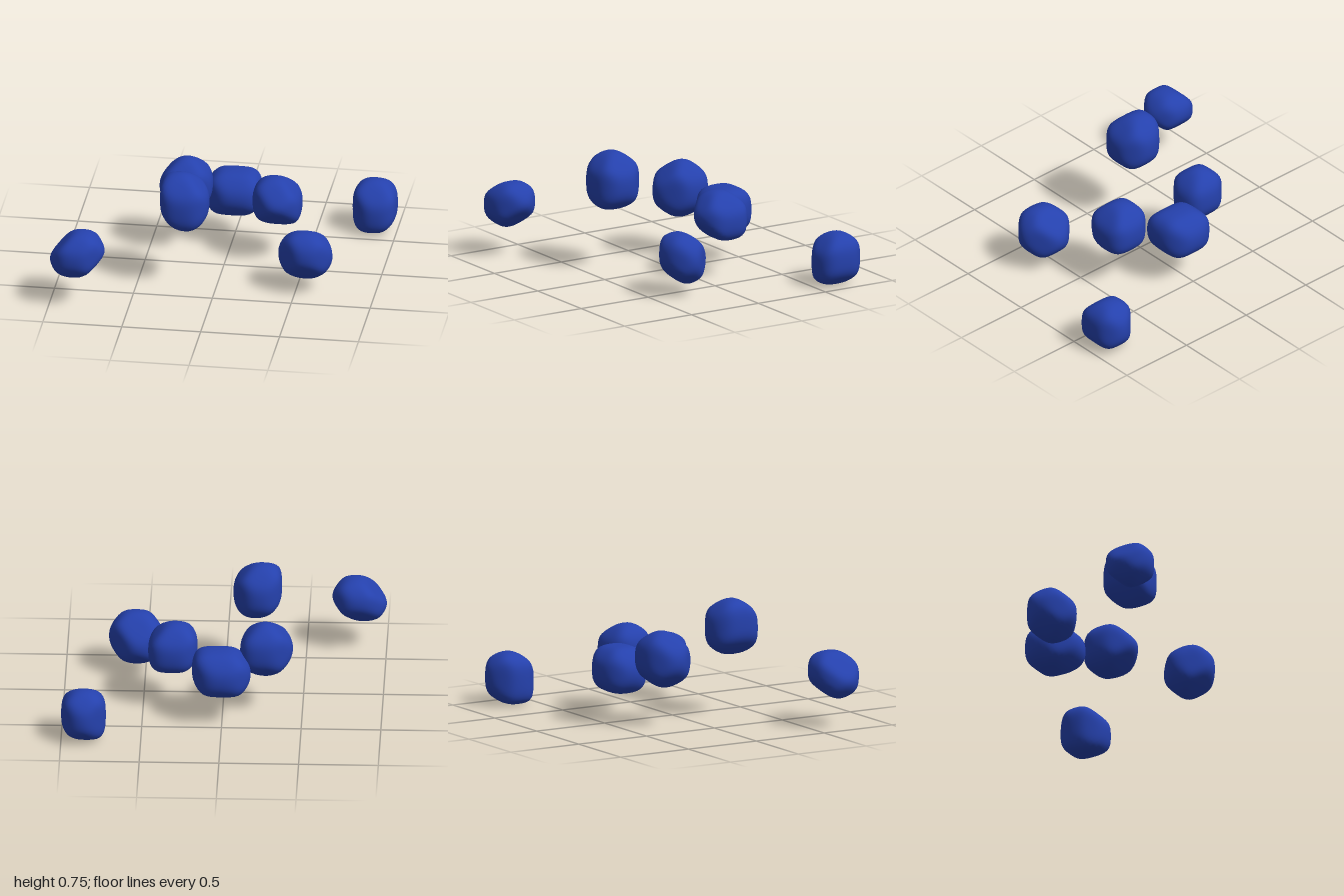
import * as THREE from 'three';
import { mergeVertices } from 'three/addons/utils/BufferGeometryUtils.js';

// Each lump: box limits, then how far each box edge is bevelled off.
// Bevel order per plane: (+,+), (-,+), (+,-), (-,-)
const LUMPS = [
  { x: [-1, -0.66], y: [0.18, 0.48], z: [0.52, 0.82],
    xy: [0.085, 0.145, 0.14, 0.085], zy: [0.085, 0.075, 0.09, 0.125], xz: [0.107, 0.085, 0.095, 0.105] },
  { x: [-0.355, -0.05], y: [0.39, 0.755], z: [0.135, 0.46],
    xy: [0.123, 0.06, 0.09, 0.118], zy: [0.115, 0.105, 0.065, 0.1], xz: [0.08, 0.065, 0.1, 0.08] },
  { x: [-0.44, -0.11], y: [0.245, 0.61], z: [-0.39, -0.06],
    xy: [0.11, 0.125, 0.1, 0.12], zy: [0.14, 0.09, 0.11, 0.11], xz: [0.125, 0.11, 0.06, 0.11] },
  { x: [0.16, 0.47], y: [0.24, 0.555], z: [-0.31, 0.02],
    xy: [0.115, 0.08, 0.06, 0.08], zy: [0.115, 0.1, 0.13, 0.065], xz: [0.085, 0.11, 0.065, 0.075] },
  { x: [-0.18, 0.19], y: [0.185, 0.485], z: [-0.55, -0.21],
    xy: [0.065, 0.1, 0.09, 0.08], zy: [0.09, 0.09, 0.1, 0.08], xz: [0.065, 0.12, 0.1, 0.095] },
  { x: [0.385, 0.73], y: [0.07, 0.405], z: [0.12, 0.435],
    xy: [0.1, 0.1, 0.11, 0.105], zy: [0.075, 0.135, 0.14, 0.105], xz: [0.1, 0.125, 0.135, 0.11] },
  { x: [0.72, 1], y: [0, 0.335], z: [-0.825, -0.51],
    xy: [0.08, 0.075, 0.09, 0.055], zy: [0.115, 0.09, 0.06, 0.1], xz: [0.06, 0.09, 0.085, 0.1] },
];

const SIGNS = [[1, 1], [-1, 1], [1, -1], [-1, -1]];
const ROUNDING = 9; // higher gives sharper edges between the bevels

// Limit planes of a lump: unit normal and distance from its centre
function limitPlanes(lump, half) {
  const planes = [];
  for (const axis of ['x', 'y', 'z']) {
    for (const s of [1, -1]) {
      const n = new THREE.Vector3();
      n[axis] = s;
      planes.push({ n, target: half[axis] });
    }
  }
  for (const [a, b] of ['xy', 'zy', 'xz']) {
    SIGNS.forEach(([sa, sb], i) => {
      const n = new THREE.Vector3();
      n[a] = sa * Math.SQRT1_2;
      n[b] = sb * Math.SQRT1_2;
      planes.push({ n, target: (half[a] + half[b] - lump[a + b][i]) * Math.SQRT1_2 });
    });
  }
  planes.forEach((p) => { p.h = p.target; });
  return planes;
}

// Sphere pushed out to a soft blend of the limit planes
function lumpGeometry(lump, half) {
  const ball = new THREE.IcosahedronGeometry(1, 9);
  ball.deleteAttribute('normal');
  ball.deleteAttribute('uv');
  const geo = mergeVertices(ball, 1e-4);
  const pos = geo.attributes.position;
  const dirs = Array.from({ length: pos.count }, (_, i) =>
    new THREE.Vector3().fromBufferAttribute(pos, i).normalize());
  const planes = limitPlanes(lump, half);
  let points = [];
  for (let pass = 0; pass < 16; pass++) {
    points = dirs.map((d) => {
      let sum = 0;
      for (const p of planes) sum += Math.pow(Math.max(0, d.dot(p.n)) / p.h, ROUNDING);
      return d.clone().multiplyScalar(Math.pow(sum, -1 / ROUNDING));
    });
    // nudge every plane until the blended surface reaches its limit
    for (const p of planes) {
      let reach = 0;
      for (const q of points) reach = Math.max(reach, q.dot(p.n));
      const h = p.h * Math.pow(p.target / reach, 0.6);
      p.h = THREE.MathUtils.clamp(h, p.target * 0.8, p.target * 1.25);
    }
  }
  points.forEach((q, i) => pos.setXYZ(i, q.x, q.y, q.z));
  geo.computeVertexNormals();
  return geo;
}

export function createModel() {
  const group = new THREE.Group();
  group.name = 'scatteredLumps';
  const blue = new THREE.MeshStandardMaterial({ color: 0x2541ad });
  blue.name = 'deepBlue';

  LUMPS.forEach((lump, i) => {
    const half = {};
    const centre = new THREE.Vector3();
    for (const axis of ['x', 'y', 'z']) {
      const [lo, hi] = lump[axis];
      half[axis] = (hi - lo) / 2;
      centre[axis] = (hi + lo) / 2;
    }
    const mesh = new THREE.Mesh(lumpGeometry(lump, half), blue);
    mesh.name = `lump${i + 1}`;
    mesh.position.copy(centre);
    group.add(mesh);
  });
  return group;
}
